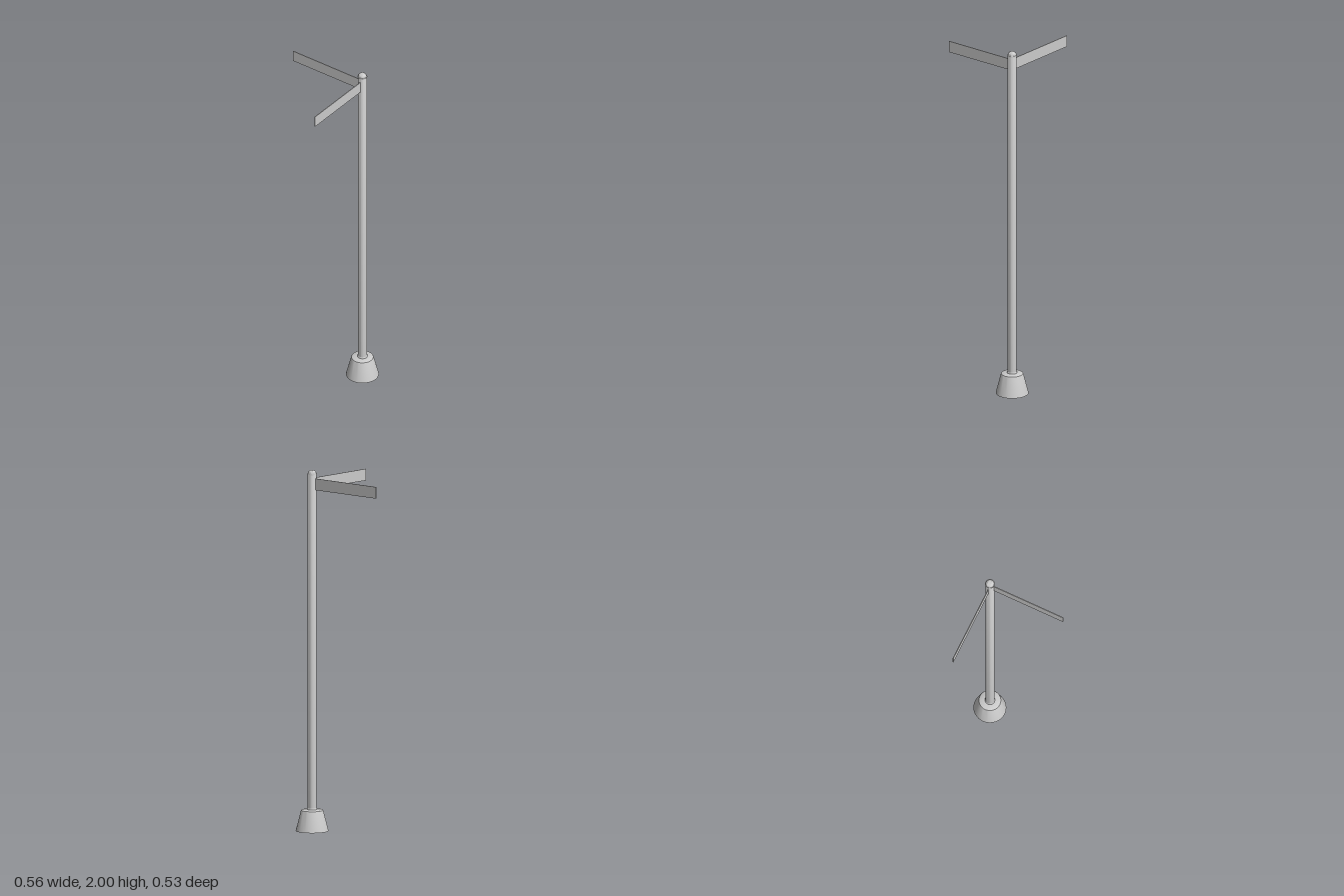
import * as THREE from 'three';
import { toCreasedNormals } from 'three/addons/utils/BufferGeometryUtils.js';

const material = new THREE.MeshStandardMaterial({ color: 0xcccccc, side: THREE.DoubleSide });

function lathe(name, points, segments = 40) {
  const profile = points.map(([r, y]) => new THREE.Vector2(r, y));
  const geometry = toCreasedNormals(new THREE.LatheGeometry(profile, segments), 0.6);
  const mesh = new THREE.Mesh(geometry, material);
  mesh.name = name;
  return mesh;
}

export function createModel() {
  const model = new THREE.Group();
  model.name = 'signpost';

  // Everything is built around the pole axis
  const post = new THREE.Group();
  post.name = 'post';
  post.position.set(0.19, 0, -0.178);
  model.add(post);

  // Hollow tapered foot, open underneath
  post.add(lathe('base', [[0.09, 0], [0.0625, 0.108], [0.06, 0.114], [0.055, 0.117], [0.024, 0.119]]));

  // Pole with a small collar where it meets the foot
  post.add(lathe('collar', [[0.0275, 0.117], [0.0275, 0.123], [0.025, 0.127]]));
  post.add(lathe('pole', [[0.025, 0.1], [0.025, 1.978], [0.0235, 1.981]]));

  // Domed cap
  const dome = [[0.0265, 1.974], [0.0265, 1.98]];
  for (let i = 0; i <= 8; i++) {
    const a = (i / 8) * Math.PI / 2;
    dome.push([Math.max(0.0235 * Math.cos(a), 0), 1.98 + 0.02 * Math.sin(a)]);
  }
  post.add(lathe('cap', dome));

  // Two thin sign blades at right angles: [name, length, turn, sideways offset]
  const blades = [
    ['rightSign', 0.47, Math.PI, -0.002],
    ['frontSign', 0.443, -Math.PI / 2, -0.004],
  ];
  for (const [name, reach, turn, offset] of blades) {
    const inner = 0.022;
    const blade = new THREE.Mesh(new THREE.BoxGeometry(reach - inner, 0.064, 0.0045), material);
    blade.position.set((reach + inner) / 2, 1.922, offset);
    const arm = new THREE.Group();
    arm.name = name;
    arm.rotation.y = turn;
    arm.add(blade);
    post.add(arm);
  }
  return model;
}
